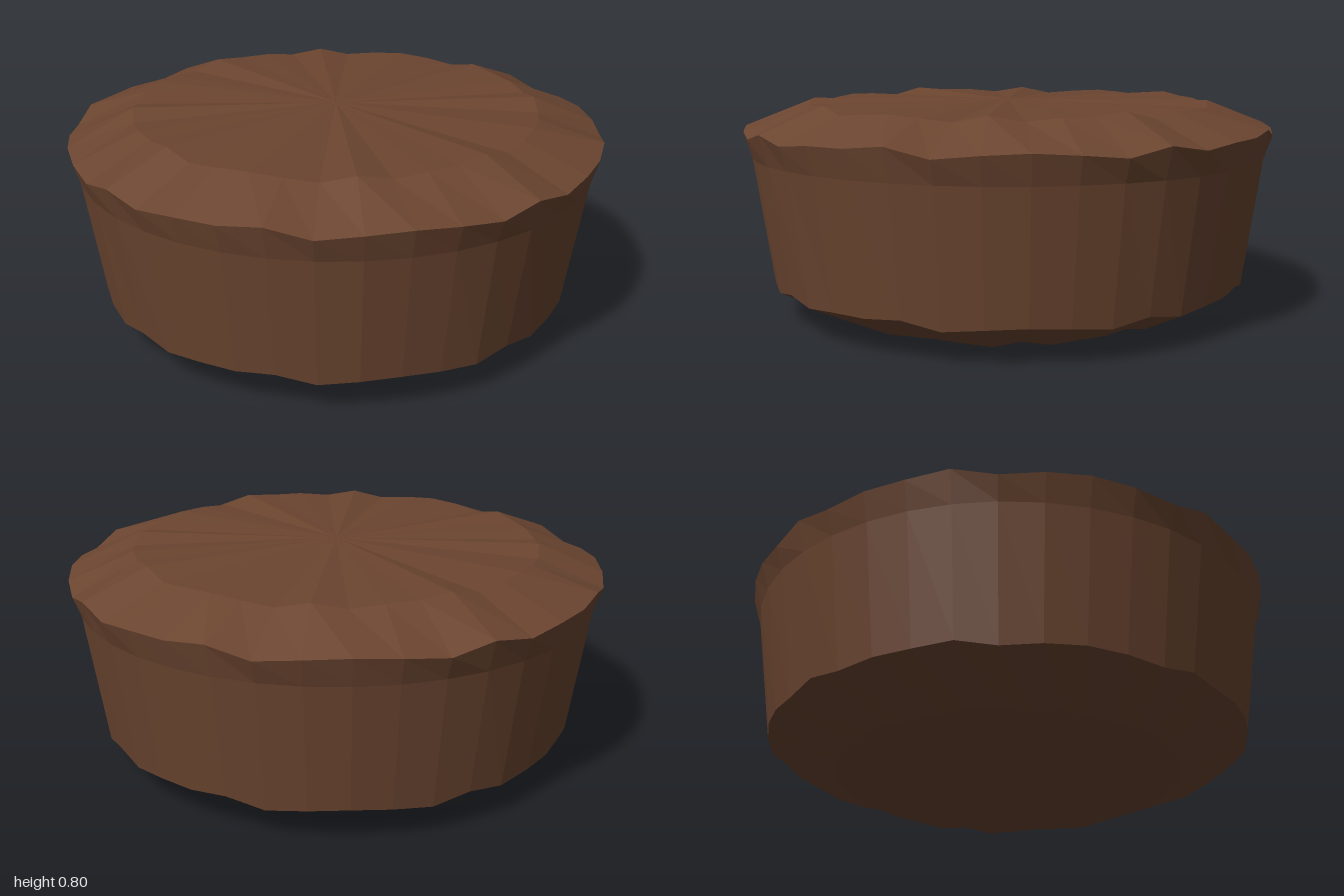
import * as THREE from 'three';

const SIDES = 40;
// uneven carving, repeated around the disc (-1..1)
const WAVE = [1, -0.9, -0.1, 0.3, -0.2, -1, 0.7, -0.7, 0.1, 0.2];
// radius, height, wave depth and wave shift of each ring, bottom to top
const RINGS = [
  [0, 0.015, 0, 0],
  [0.65, 0.011, 0.011, 3],
  [0.9, 0.128, 0.014, 0],
  [0.97, 0.6, 0, 0],
  [1, 0.7, 0.018, 0],
  [0.76, 0.79, 0.014, 4],
  [0, 0.8, 0, 0],
];

export function createModel() {
  const group = new THREE.Group();
  const wood = new THREE.MeshStandardMaterial({ color: 0x6b4530, flatShading: true });
  wood.name = 'brown wood';

  // turned disc with chamfered rims
  const lathe = new THREE.LatheGeometry(RINGS.map(([r, y]) => new THREE.Vector2(r, y)), SIDES);
  const pos = lathe.attributes.position;

  // ripple the rims up and down
  for (let i = 0; i <= SIDES; i++) {
    RINGS.forEach(([, y, depth, shift], j) => {
      pos.setY(i * RINGS.length + j, y + depth * WAVE[(i + shift) % WAVE.length]);
    });
  }

  const geometry = lathe.toNonIndexed();
  geometry.computeVertexNormals();
  const disc = new THREE.Mesh(geometry, wood);
  disc.name = 'woodenDisc';
  group.add(disc);
  return group;
}
